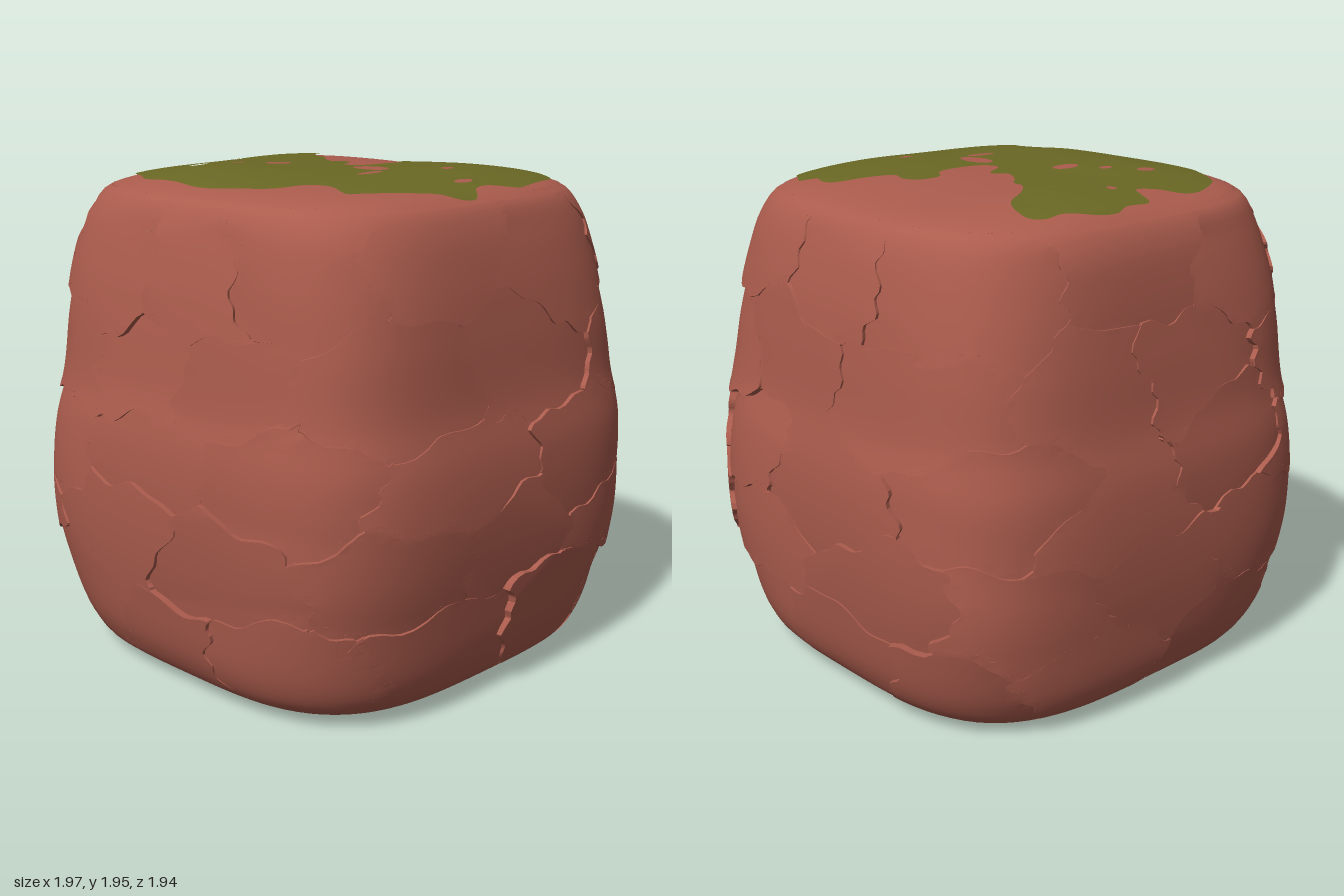
import * as THREE from 'three';
import { toCreasedNormals } from 'three/addons/utils/BufferGeometryUtils.js';

const rockMaterial = new THREE.MeshStandardMaterial({ color: 0xab5c4d, side: THREE.DoubleSide });
rockMaterial.name = 'red rock';
const mossMaterial = new THREE.MeshStandardMaterial({ color: 0x6a6824 });
mossMaterial.name = 'olive moss';

const { smoothstep, clamp } = THREE.MathUtils;
const Z_SCALE = 0.985, Z_SHIFT = 0.012;

function seeded(seed) {
  return () => {
    seed = (seed * 16807) % 2147483647;
    return seed / 2147483647;
  };
}
const random = seeded(4711);
const spread = (amount) => (random() * 2 - 1) * amount;

// Half width against height, from the middle of the base to the middle of the top
const profile = new THREE.CatmullRomCurve3([
  [0, 0.005], [0.5, 0.01], [0.82, 0.042], [0.895, 0.14], [0.95, 0.4], [0.975, 0.7],
  [0.965, 0.95], [0.925, 1.15], [0.9, 1.4], [0.87, 1.62], [0.83, 1.78],
  [0.78, 1.86], [0.7, 1.895], [0.5, 1.925], [0.25, 1.935], [0, 1.937],
].map(([a, y]) => new THREE.Vector3(a, y, 0))).getSpacedPoints(110);

// Corners are rounder near the base and the top
const squareness = (y) => 3.5 + 0.6 * smoothstep(y, 0.1, 0.6) - 0.4 * smoothstep(y, 1.3, 1.8);
const squareRadius = (x, z, y) => {
  const n = squareness(y);
  return (Math.abs(x) ** n + Math.abs(z) ** n) ** (1 / n);
};

// Low humps under the moss and a hollow beside it: x, z, height
const humps = [[-0.35, -0.2, 0.014], [0.2, 0.45, 0.014], [0.2, -0.5, 0.012], [0.55, -0.12, -0.012]];
const topBump = (x, z) => humps.reduce(
  (sum, [hx, hz, h]) => sum + h * Math.exp(-((x - hx) ** 2 + (z - hz) ** 2) / 0.07), 0);

function topHeight(x, z) {
  const s = squareRadius(x, (z - Z_SHIFT) / Z_SCALE, 1.9);
  let i = profile.length - 1;
  while (profile[i - 1].x < s) i--;
  const outer = profile[i - 1], inner = profile[i];
  const t = (s - inner.x) / (outer.x - inner.x);
  return inner.y + (outer.y - inner.y) * t + topBump(x, z);
}

// Cracked slabs in five courses: each has its own depth and tilt
const slabs = [];
[0.2, 0.56, 0.92, 1.27, 1.65].forEach((y, row) => {
  for (let k = 0; k < 10; k++) {
    const angle = ((k + row * 0.45 + spread(0.3)) / 10) * Math.PI * 2;
    slabs.push({
      x: Math.cos(angle), z: Math.sin(angle), y: y + spread(0.1),
      depth: spread(0.009), lean: spread(0.08), turn: spread(0.05),
    });
  }
});

// Surface places are vectors of (angle, half width, height)
function slabAt({ x: angle, z: y }) {
  if (y < 0.03 || y > 1.86) return null;
  const x = Math.cos(angle), z = Math.sin(angle);
  // A ragged lookup position keeps the crack lines uneven
  const px = x + 0.03 * Math.sin(y * 23 + z * 9) + 0.015 * Math.sin(y * 61 + x * 20);
  const pz = z + 0.03 * Math.sin(y * 19 - x * 11) + 0.015 * Math.sin(y * 57 - z * 20);
  const py = y + 0.025 * Math.sin(x * 13 + z * 17) + 0.012 * Math.sin(x * 31 - z * 27);
  let best = null, nearest = Infinity;
  for (const slab of slabs) {
    const d = (px - slab.x) ** 2 + (pz - slab.z) ** 2 + ((py - slab.y) * 1.7) ** 2;
    if (d < nearest) { nearest = d; best = slab; }
  }
  return best;
}

function surfacePoint({ x: angle, y: a, z: y }, slab) {
  const c = Math.cos(angle), s = Math.sin(angle);
  let reach = a / squareRadius(c, s, y);
  if (slab) {
    const across = (s - slab.z) * slab.x - (c - slab.x) * slab.z;
    const tilt = clamp(slab.lean * (y - slab.y) + slab.turn * across, -0.014, 0.014);
    reach += (slab.depth + tilt) * smoothstep(y, 0.03, 0.12) * (1 - smoothstep(y, 1.74, 1.86));
  }
  const x = c * reach, z = s * reach * Z_SCALE + Z_SHIFT;
  return new THREE.Vector3(x, y + smoothstep(y, 1.7, 1.83) * topBump(x, z), z);
}

// Where the slab changes between two places
function crossing(a, b, slabA, slabB) {
  let low = 0, high = 1;
  if (slabA !== slabB) {
    for (let i = 0; i < 7; i++) {
      const mid = (low + high) / 2;
      if (slabAt(a.clone().lerp(b, mid)) === slabA) low = mid;
      else high = mid;
    }
  }
  return a.clone().lerp(b, (low + high) / 2);
}

// Boulder: rounded-square rings, cut along the cracks into stepped slabs
function rockGeometry() {
  const sides = 120, position = [];
  const emit = (...corners) => {
    if (new THREE.Triangle(...corners).getArea() < 1e-8) return;
    for (const p of corners) position.push(p.x, p.y, p.z);
  };
  const patch = (places) => {
    const labels = places.map(slabAt);
    if (labels[0] === labels[1] && labels[1] === labels[2]) {
      emit(...places.map((p) => surfacePoint(p, labels[0])));
      return;
    }
    const cuts = places.map((p, k) =>
      crossing(p, places[(k + 1) % 3], labels[k], labels[(k + 1) % 3]));
    const split = cuts.filter((_, k) => labels[k] !== labels[(k + 1) % 3]);
    const centre = split.reduce((sum, p) => sum.add(p), new THREE.Vector3())
      .divideScalar(split.length);
    for (let k = 0; k < 3; k++) {
      const own = labels[k], next = labels[(k + 1) % 3];
      const [corner, after, middle, before] = [places[k], cuts[k], centre, cuts[(k + 2) % 3]]
        .map((p) => surfacePoint(p, own));
      emit(corner, after, middle);
      emit(corner, middle, before);
      // Wall of the crack
      if (own !== next) {
        const farAfter = surfacePoint(cuts[k], next), farMiddle = surfacePoint(centre, next);
        emit(after, farAfter, farMiddle);
        emit(after, farMiddle, middle);
      }
    }
  };
  const place = (ring, j) =>
    new THREE.Vector3((j / sides) * Math.PI * 2, profile[ring].x, profile[ring].y);
  for (let i = 0; i < profile.length - 1; i++) {
    for (let j = 0; j < sides; j++) {
      const a = place(i, j), b = place(i + 1, j), c = place(i, j + 1), d = place(i + 1, j + 1);
      patch([a, b, c]);
      patch([b, d, c]);
    }
  }
  const geometry = new THREE.BufferGeometry();
  geometry.setAttribute('position', new THREE.Float32BufferAttribute(position, 3));
  return toCreasedNormals(geometry, 0.45);
}

// Moss: a holed outline split finely and draped over the top
function mossGeometry() {
  const outline = [
    [-0.62, -0.43], [-0.55, -0.56], [-0.47, -0.62], [-0.35, -0.67], [-0.26, -0.66], [-0.2, -0.6],
    [-0.12, -0.57], [-0.09, -0.62], [-0.06, -0.69], [0.05, -0.69], [0.13, -0.72], [0.22, -0.71],
    [0.33, -0.66], [0.42, -0.66], [0.47, -0.62], [0.45, -0.53], [0.4, -0.46], [0.3, -0.4],
    [0.22, -0.32], [0.2, -0.25], [0.15, -0.2], [0.09, -0.1], [0.13, -0.05], [0.1, -0.01],
    [0.02, 0.04], [0.04, 0.11], [0.15, 0.13], [0.25, 0.12], [0.3, 0.06], [0.38, 0.07],
    [0.42, 0.13], [0.41, 0.2], [0.5, 0.26], [0.6, 0.31], [0.62, 0.37], [0.6, 0.44],
    [0.64, 0.5], [0.6, 0.57], [0.55, 0.65], [0.45, 0.69], [0.3, 0.73], [0.22, 0.74],
    [0.1, 0.7], [0.02, 0.71], [-0.05, 0.77], [-0.14, 0.76], [-0.2, 0.71], [-0.35, 0.65],
    [-0.45, 0.6], [-0.51, 0.56], [-0.47, 0.45], [-0.5, 0.36], [-0.6, 0.3], [-0.65, 0.18],
    [-0.69, 0], [-0.66, -0.2], [-0.66, -0.35],
  ].map(([x, z]) => new THREE.Vector2(x, -z));
  const shape = new THREE.Shape();
  shape.moveTo(outline[0].x, outline[0].y);
  shape.splineThru([...outline.slice(1), outline[0]]);
  const gaps = [
    [-0.38, -0.37, 0.045, 0.025], [-0.26, -0.27, 0.03, 0.02], [-0.16, -0.15, 0.06, 0.04],
    [-0.04, -0.52, 0.02, 0.02], [-0.02, 0.22, 0.05, 0.085], [-0.13, 0.32, 0.07, 0.022],
    [0.16, 0.45, 0.03, 0.02], [0.04, 0.63, 0.05, 0.02],
  ];
  for (const [x, z, rx, rz] of gaps) {
    shape.holes.push(new THREE.Path().absellipse(x, -z, rx, rz, 0, Math.PI * 2, true));
  }
  const flat = new THREE.ShapeGeometry(shape, 5);
  const points = flat.attributes.position, order = flat.index.array, position = [];
  const split = (a, b, c) => {
    const ab = a.distanceTo(b), longest = Math.max(ab, b.distanceTo(c), c.distanceTo(a));
    if (longest < 0.06) {
      for (const p of [a, b, c]) position.push(p.x, topHeight(p.x, -p.y) + 0.008, -p.y);
    } else if (longest === ab) {
      const m = a.clone().lerp(b, 0.5);
      split(a, m, c);
      split(m, b, c);
    } else split(b, c, a);
  };
  for (let i = 0; i < order.length; i += 3) {
    split(...[0, 1, 2].map((k) => new THREE.Vector2().fromBufferAttribute(points, order[i + k])));
  }
  const geometry = new THREE.BufferGeometry();
  geometry.setAttribute('position', new THREE.Float32BufferAttribute(position, 3));
  return toCreasedNormals(geometry, 0.8);
}

export function createModel() {
  const group = new THREE.Group();
  group.name = 'mossyBoulder';
  const rock = new THREE.Mesh(rockGeometry(), rockMaterial);
  rock.name = 'boulder';
  const moss = new THREE.Mesh(mossGeometry(), mossMaterial);
  moss.name = 'mossPatch';
  group.add(rock, moss);
  return group;
}
